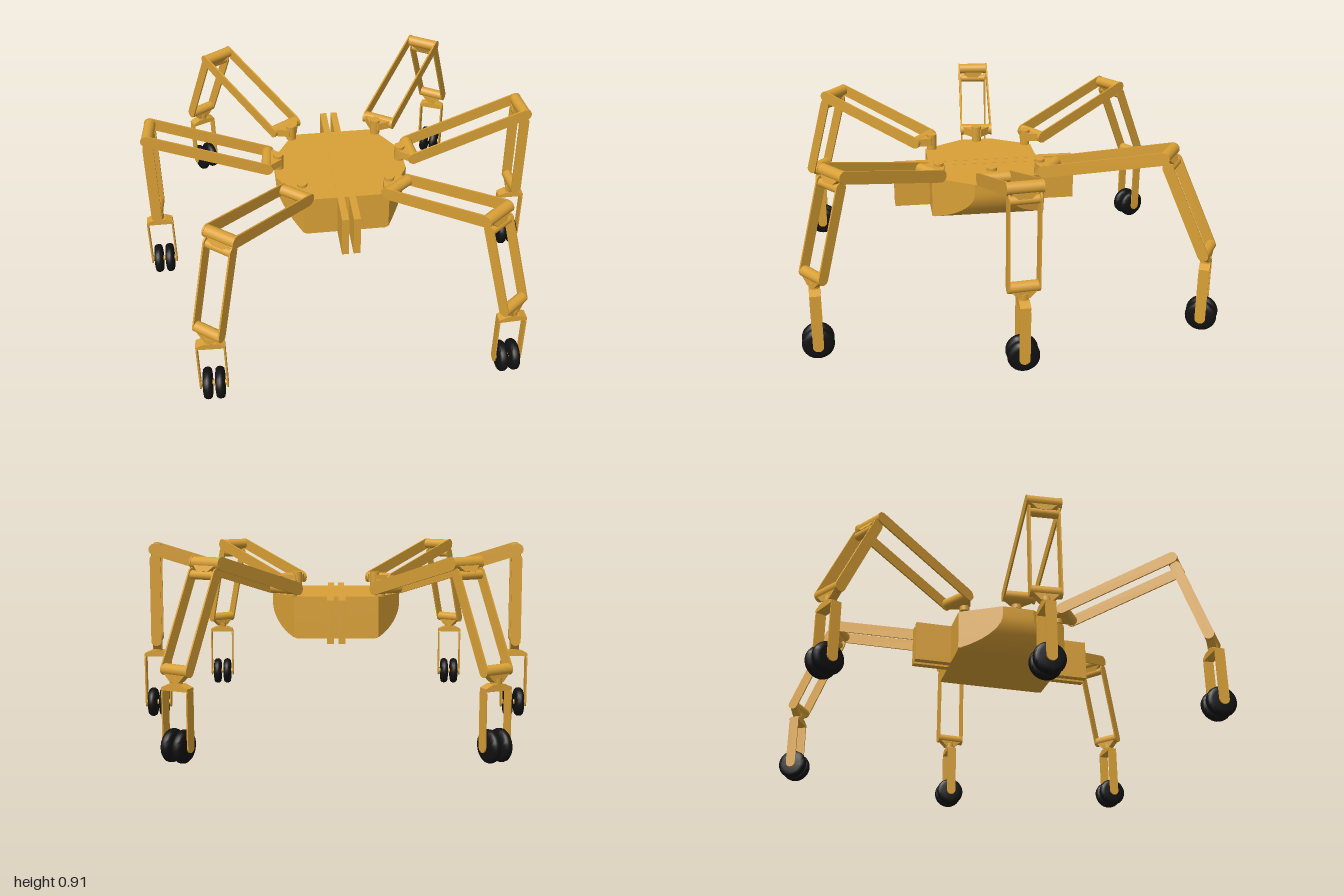
import * as THREE from 'three';
import { toCreasedNormals } from 'three/addons/utils/BufferGeometryUtils.js';

const gold = new THREE.MeshStandardMaterial({ color: 0xd9a036, side: THREE.DoubleSide });
const black = new THREE.MeshStandardMaterial({ color: 0x111111 });

function add(parent, name, geometry, x = 0, y = 0, z = 0, material = gold) {
  const mesh = new THREE.Mesh(geometry, material);
  mesh.name = name;
  mesh.position.set(x, y, z);
  parent.add(mesh);
  return mesh;
}

function group(parent, name, x = 0, y = 0, z = 0) {
  const g = new THREE.Group();
  g.name = name;
  g.position.set(x, y, z);
  parent.add(g);
  return g;
}

const box = (w, h, d) => new THREE.BoxGeometry(w, h, d);
const rodZ = (r, len) => new THREE.CylinderGeometry(r, r, len, 24).rotateX(Math.PI / 2);

// Thin flat bar with rounded ends, from the origin along +x
function barGeometry(len, width, thick) {
  const s = new THREE.Shape(), r = width / 2;
  s.absarc(len, 0, r, -Math.PI / 2, Math.PI / 2, false);
  s.absarc(0, 0, r, Math.PI / 2, Math.PI * 1.5, false);
  return new THREE.ExtrudeGeometry(s, { depth: thick, bevelEnabled: false, curveSegments: 8 }).translate(0, 0, -thick / 2);
}

// Trapezoid block: wide at y = 0, narrow at y = -len, width along z, thickness along x
function flareGeometry(len, wide, narrow, thick) {
  const s = new THREE.Shape([[-wide, 0], [wide, 0], [wide, -len * 0.3], [narrow, -len], [-narrow, -len], [-wide, -len * 0.3]]
    .map(([x, y]) => new THREE.Vector2(x / 2, y)));
  return new THREE.ExtrudeGeometry(s, { depth: thick, bevelEnabled: false })
    .translate(0, 0, -thick / 2).rotateY(Math.PI / 2);
}

// Hull: clipped outline whose half width shrinks along a rounded belly
function hullGeometry() {
  const rings = [[0.655, 0.326]];
  for (let i = 0; i <= 10; i++) {
    const a = (i / 10) * Math.PI / 2 * 0.8;
    rings.push([0.61 - 0.165 * Math.sin(a) / Math.sin(Math.PI * 0.4), 0.326 - 0.19 * (1 - Math.cos(a))]);
  }
  const pos = [], index = [], n = 8, cz = 0.053;
  for (const [y, w] of rings) {
    const f = Math.min(w, 0.21), e = 0.28 - Math.max(0, w - 0.21) * 1.72;
    for (const [x, z] of [[w, e], [w, -e], [f, -0.28], [-f, -0.28], [-w, -e], [-w, e], [-f, 0.28], [f, 0.28]]) pos.push(x, y, cz + z);
  }
  for (let r = 0; r < rings.length - 1; r++) {
    for (let i = 0; i < n; i++) {
      const a = r * n + i, b = r * n + (i + 1) % n;
      index.push(a, a + n, b, b, a + n, b + n);
    }
  }
  const last = (rings.length - 1) * n;
  for (let i = 1; i < n - 1; i++) index.push(0, i, i + 1, last, last + i + 1, last + i);
  const g = new THREE.BufferGeometry();
  g.setAttribute('position', new THREE.Float32BufferAttribute(pos, 3));
  g.setIndex(index);
  return toCreasedNormals(g, 0.4);
}

// Rounded tyre turning about x
function wheelGeometry() {
  const pts = [[0, -0.022], [0.05, -0.022], [0.066, -0.019], [0.073, -0.011], [0.075, 0], [0.073, 0.011], [0.066, 0.019], [0.05, 0.022], [0, 0.022]]
    .map(([x, y]) => new THREE.Vector2(x, y));
  return toCreasedNormals(new THREE.LatheGeometry(pts, 32).rotateZ(Math.PI / 2), 0.7);
}

// Swivelling fork with its pair of wheels, standing below the ankle
function addFoot(parent, x, z, yaw) {
  const foot = group(parent, 'foot', x, 0, z);
  foot.rotation.y = yaw;
  add(foot, 'forkSwivel', new THREE.CylinderGeometry(0.025, 0.025, 0.04, 20), 0, 0.36, 0);
  const crown = new THREE.Shape([[-0.066, 0.322], [0.066, 0.322], [0.066, 0.336], [0.03, 0.352], [-0.03, 0.352], [-0.066, 0.336]]
    .map(([a, b]) => new THREE.Vector2(a, b)));
  add(foot, 'forkCrown', new THREE.ExtrudeGeometry(crown, { depth: 0.05, bevelEnabled: false }), 0, 0, -0.025);
  add(foot, 'axle', rodZ(0.013, 0.126).rotateY(Math.PI / 2), 0, 0.076, 0);
  for (const s of [-1, 1]) {
    add(foot, 'forkArm', barGeometry(0.235, 0.05, 0.007).rotateZ(Math.PI / 2).rotateY(Math.PI / 2), s * 0.063, 0.076, 0);
    add(foot, 'wheel', wheelGeometry(), s * 0.029, 0.076, 0, black);
  }
}

// Leg frame: local x runs outward, local z across the leg
function addLeg(parent, name, { hip, ankle, reach, kneeY, yaw }, side) {
  const [hx, hz] = [hip[0] * side, hip[1]], [ax, az] = [ankle[0] * side, ankle[1]];
  const hipY = 0.7, ankleY = 0.41;
  const span = Math.hypot(ax - hx, az - hz);
  const whole = group(parent, name);
  const leg = group(whole, 'limb', hx, hipY, hz);
  leg.rotation.y = Math.atan2(hz - az, ax - hx);

  // hip bracket with its upright pin
  add(leg, 'hipPin', new THREE.CylinderGeometry(0.025, 0.025, 0.08, 24), -0.055, -0.005, 0);
  add(leg, 'hipBracket', flareGeometry(0.07, 0.14, 0.05, 0.04).rotateZ(-Math.PI / 2));
  add(leg, 'hipRod', rodZ(0.028, 0.15));

  // upper pair of bars
  const rise = kneeY - hipY;
  const upper = group(leg, 'upperLeg');
  upper.rotation.z = Math.atan2(rise, reach);
  for (const s of [-1, 1]) add(upper, 'upperBar', barGeometry(Math.hypot(reach, rise), 0.06, 0.008), 0, 0, s * 0.079);

  // knee and lower pair of bars, hanging along local -y
  const lower = group(leg, 'lowerLeg', reach, kneeY - hipY, 0);
  const dx = span - reach, dy = kneeY - ankleY, len = Math.hypot(dx, dy);
  lower.rotation.z = Math.atan2(dx, dy);
  add(lower, 'kneeRod', rodZ(0.028, 0.15));
  add(lower, 'kneeFlare', flareGeometry(0.048, 0.13, 0.06, 0.04));
  add(lower, 'kneeCrossRod', rodZ(0.02, 0.136), 0, -0.058, 0);
  for (const s of [-1, 1]) {
    add(lower, 'lowerBar', barGeometry(len - 0.05, 0.052, 0.008).rotateZ(-Math.PI / 2), 0, -0.05, s * 0.07);
  }

  // ankle
  add(leg, 'ankleRod', rodZ(0.026, 0.134), span, ankleY - hipY, 0);
  add(leg, 'ankleFlare', flareGeometry(0.05, 0.12, 0.05, 0.04), span, ankleY - hipY, 0);
  addFoot(whole, ax, az, yaw * side);
}

export function createModel() {
  const model = new THREE.Group();
  model.name = 'sixLeggedWalker';

  // body with twin keel plates
  const body = group(model, 'body');
  add(body, 'hull', hullGeometry());
  for (const s of [-1, 1]) add(body, 'keelPlate', box(0.034, 0.21, 0.92), s * 0.028, 0.551, 0.05);
  add(body, 'keelCore', box(0.022, 0.19, 0.5), 0, 0.555, 0.05);

  // three legs per side
  const legs = {
    Front: { hip: [0.245, 0.342], ankle: [0.695, 0.91], reach: 0.58, kneeY: 0.86, yaw: 0.04 },
    Middle: { hip: [0.36, 0.045], ankle: [0.93, -0.005], reach: 0.57, kneeY: 0.88, yaw: 0 },
    Back: { hip: [0.25, -0.245], ankle: [0.69, -0.92], reach: 0.59, kneeY: 0.86, yaw: -0.43 },
  };
  for (const [place, spec] of Object.entries(legs)) {
    addLeg(model, 'left' + place + 'Leg', spec, 1);
    addLeg(model, 'right' + place + 'Leg', spec, -1);
  }
  return model;
}
